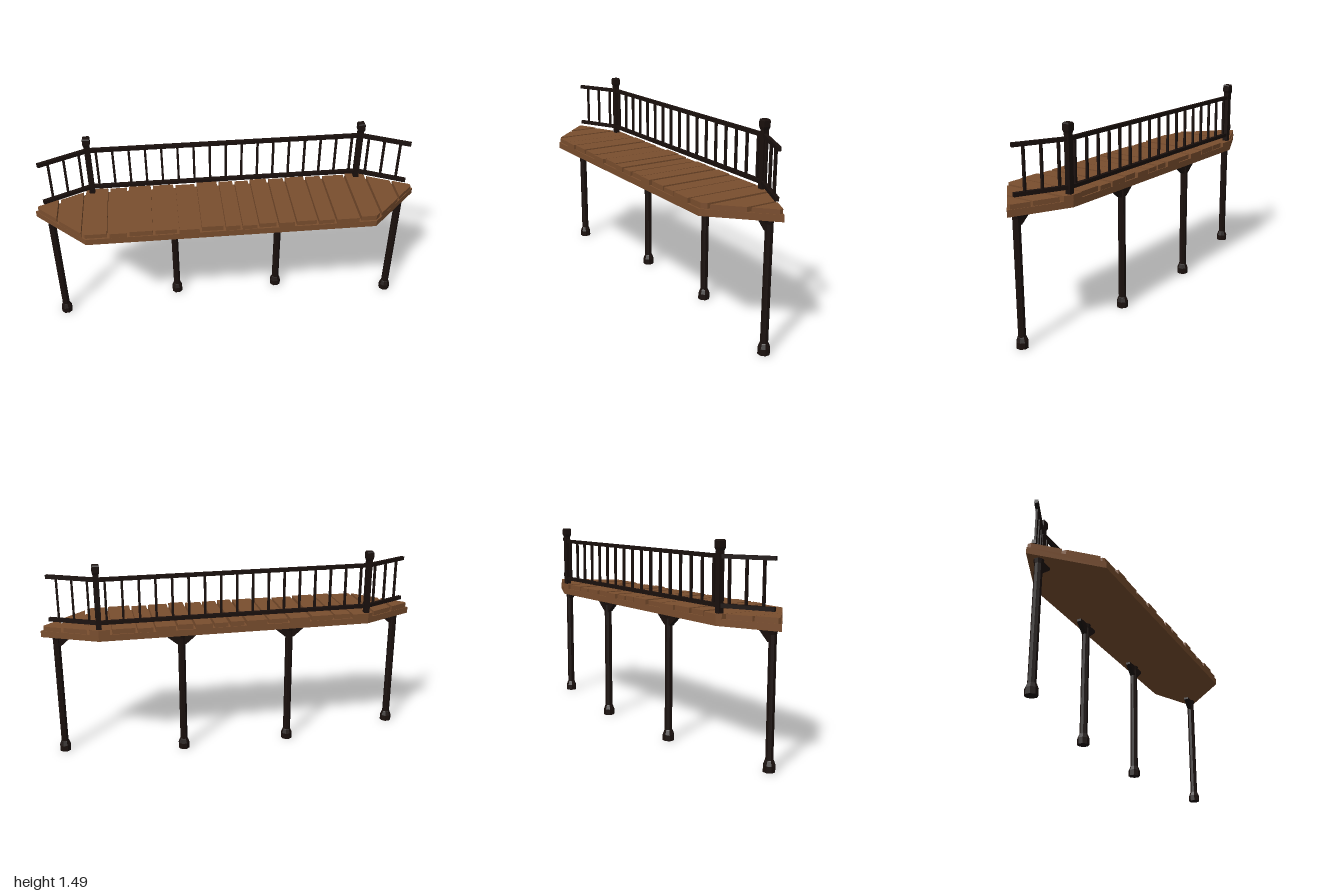
import * as THREE from 'three';

const wood = new THREE.MeshStandardMaterial({ color: 0x7a4e2e, flatShading: true });
const iron = new THREE.MeshStandardMaterial({ color: 0x1a100d, flatShading: true });

// Deck outline in the deck's own frame: x runs along it, z across it
const TIP = 1.414, BACK = [1.01, -0.19], FRONT = [1.04, 0.375];
const edge = ([cx, cz], x) =>
  Math.abs(x) <= cx ? cz : cz * Math.max(0, (TIP - Math.abs(x)) / (TIP - cx));

function part(name, geometry, material, parent, x = 0, y = 0, z = 0) {
  const mesh = new THREE.Mesh(geometry, material);
  mesh.name = name;
  mesh.position.set(x, y, z);
  parent.add(mesh);
  return mesh;
}

// Flat slab from an outline of [x, z] points, standing on y = 0
function slab(points, height) {
  const shape = new THREE.Shape(points.map(([x, z]) => new THREE.Vector2(x, -z)));
  return new THREE.ExtrudeGeometry(shape, { depth: height, bevelEnabled: false }).rotateX(-Math.PI / 2);
}

function bar(name, a, b, y, size, parent) {
  const dx = b[0] - a[0], dz = b[1] - a[1];
  const mesh = part(name, new THREE.BoxGeometry(Math.hypot(dx, dz), size, size), iron, parent,
    (a[0] + b[0]) / 2, y, (a[1] + b[1]) / 2);
  mesh.rotation.y = -Math.atan2(dz, dx);
}

// Turned profile of [radius, y] pairs with a few flat sides
function turned(profile, sides) {
  const points = profile.map(([r, y]) => new THREE.Vector2(r, y));
  return new THREE.LatheGeometry(points, sides, Math.PI / sides);
}

function addDeck(deck) {
  part('deckBase', slab([
    [-TIP, 0], [-BACK[0], BACK[1]], [BACK[0], BACK[1]],
    [TIP, 0], [FRONT[0], FRONT[1]], [-FRONT[0], FRONT[1]],
  ], 0.047), wood, deck, 0, 0.933, 0);

  // Planks across the deck, slightly uneven in length
  const seams = [-1.4, -1.24, -1.06, -0.88, -0.74, -0.56, -0.39, -0.23, -0.06, 0.06,
    0.18, 0.32, 0.45, 0.61, 0.74, 0.92, 1.08, 1.26, 1.4];
  const planks = new THREE.Group();
  planks.name = 'planks';
  deck.add(planks);
  for (let i = 0; i + 1 < seams.length; i++) {
    const a = seams[i] + 0.009, b = seams[i + 1] - 0.009;
    const inset = 0.007 * Math.sin(i * 2.4);
    const stops = (corner) => [a, ...[-corner[0], corner[0]].filter((x) => x > a && x < b), b];
    const back = stops(BACK).map((x) => [x, edge(BACK, x) + 0.004 + inset]);
    const front = stops(FRONT).map((x) => [x, edge(FRONT, x) - 0.006 + inset]);
    part('plank', slab([...back, ...front.reverse()], 0.037 + 0.003 * Math.cos(i * 1.7)),
      wood, planks, 0, 0.978, 0);
  }
}

function addSupport(deck, x, z, sides) {
  const support = new THREE.Group();
  support.name = 'support';
  support.position.set(x, 0, z);
  deck.add(support);
  part('supportPost', turned([[0, 0], [0.043, 0], [0.043, 0.045], [0.031, 0.075], [0.028, 0.08],
    [0.028, 0.9], [0.036, 0.935], [0, 0.935]], 8), iron, support);
  // Triangular braces below the deck
  for (const s of sides) {
    const shape = new THREE.Shape([
      new THREE.Vector2(0, 0.85), new THREE.Vector2(0.03, 0.85),
      new THREE.Vector2(0.108, 0.915), new THREE.Vector2(0.108, 0.935), new THREE.Vector2(0, 0.935),
    ]);
    const brace = new THREE.ExtrudeGeometry(shape, { depth: 0.036, bevelEnabled: false });
    part('brace', brace.translate(0, 0, -0.018), iron, support).rotation.y = s > 0 ? 0 : Math.PI;
  }
}

function addRailing(deck) {
  const railing = new THREE.Group();
  railing.name = 'railing';
  deck.add(railing);
  const path = [[-1.345, 0.007], [-1.004, -0.156], [1.004, -0.156], [1.345, 0.007]];
  const endSteps = [0.18, 0.49, 0.8];
  const mainSteps = Array.from({ length: 17 }, (_, i) => (i + 0.5) / 17);
  const steps = [endSteps.map((t) => 1 - t), mainSteps, endSteps];
  steps.forEach((list, i) => {
    const a = path[i], b = path[i + 1];
    bar('bottomRail', a, b, 1.063, 0.027, railing);
    bar('topRail', a, b, 1.378, 0.027, railing);
    for (const t of list) {
      const x = a[0] + (b[0] - a[0]) * t, z = a[1] + (b[1] - a[1]) * t;
      part('baluster', new THREE.BoxGeometry(0.016, 0.31, 0.016), iron, railing, x, 1.22, z);
    }
  });
  // Square newel posts with flared caps
  for (const [x, z] of path.slice(1, 3)) {
    part('newelPost', turned([[0, 1.0], [0.028, 1.0], [0.028, 1.415], [0.037, 1.435],
      [0.037, 1.475], [0.03, 1.485], [0, 1.485]], 4), iron, railing, x, 0, z);
  }
}

export function createModel() {
  const model = new THREE.Group();
  model.name = 'walkway';
  // The whole walkway lies on the diagonal
  const deck = new THREE.Group();
  deck.name = 'deck';
  deck.rotation.y = Math.PI / 4;
  model.add(deck);
  addDeck(deck);
  addRailing(deck);
  for (const s of [-1, 1]) {
    addSupport(deck, s * 1.308, 0.028, [-s]);
    addSupport(deck, s * 0.41, -0.12, [-1, 1]);
  }
  return model;
}
